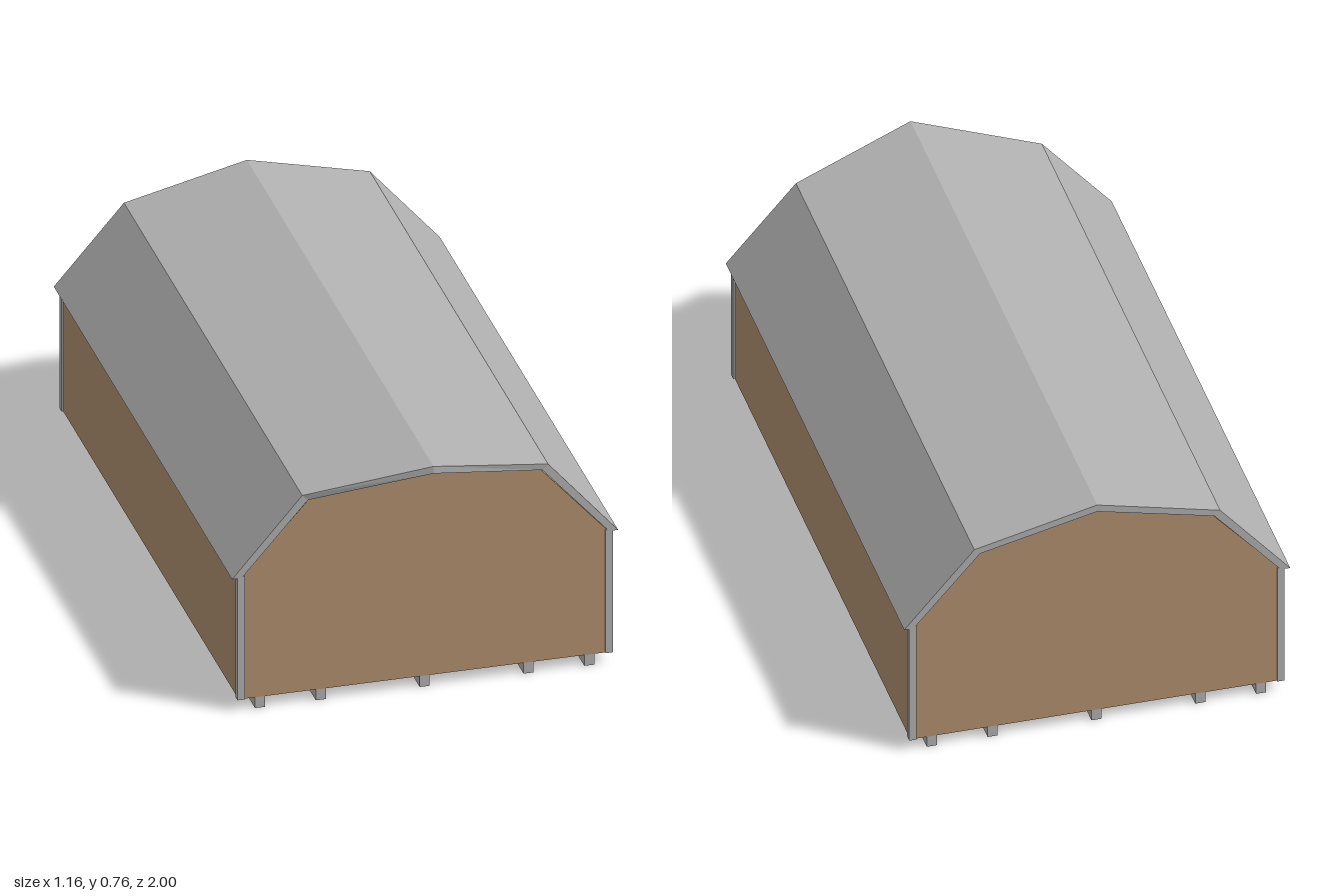
import * as THREE from 'three';

const WALL_X = 0.557, FLOOR = 0.035, FRONT = 0.905, BACK = -0.992;

// Flat-shaded geometry from a list of four-cornered faces
function quads(faces) {
  const pos = [];
  for (const [a, b, c, d] of faces) pos.push(...a, ...b, ...c, ...a, ...c, ...d);
  const g = new THREE.BufferGeometry();
  g.setAttribute('position', new THREE.Float32BufferAttribute(pos, 3));
  g.computeVertexNormals();
  return g;
}

export function createModel() {
  const model = new THREE.Group();
  model.name = 'barnShed';
  const siding = new THREE.MeshStandardMaterial({ name: 'tan siding', color: 0xb08f6e, side: THREE.DoubleSide });
  const metal = new THREE.MeshStandardMaterial({ name: 'grey metal', color: 0xb0b0b0 });

  const add = (name, geometry, material, x = 0, y = 0, z = 0) => {
    const mesh = new THREE.Mesh(geometry, material);
    mesh.name = name;
    mesh.position.set(x, y, z);
    model.add(mesh);
    return mesh;
  };

  // Hollow body, open underneath: gable walls, side walls and roof lining
  const section = [
    [WALL_X, FLOOR], [WALL_X, 0.42], [0.349, 0.653], [0, 0.735],
    [-0.349, 0.653], [-WALL_X, 0.42], [-WALL_X, FLOOR],
  ];
  const gable = new THREE.ShapeGeometry(new THREE.Shape(section.map(p => new THREE.Vector2(...p))));
  add('frontGableWall', gable, siding, 0, 0, FRONT);
  add('backGableWall', gable, siding, 0, 0, BACK).geometry = gable.clone().rotateY(Math.PI);
  const strip = (i) => {
    const [a, b] = [section[i], section[i + 1]];
    return [[...a, FRONT], [...a, BACK], [...b, BACK], [...b, FRONT]];
  };
  add('sideWalls', quads([strip(0), strip(5)]), siding);
  add('roofLining', quads([1, 2, 3, 4].map(strip)), siding);

  // Gambrel roof slab with a pointed prow over the front gable
  const outer = [[0.578, 0.43], [0.368, 0.673], [0, 0.761], [-0.368, 0.673], [-0.578, 0.43]];
  const inner = [[0.55, 0.43], [0.351, 0.656], [0, 0.738], [-0.351, 0.656], [-0.55, 0.43]];
  const frontZ = [0.91, 0.91, 1, 0.91, 0.91];
  const at = (ring, i, back) => [...ring[i], back ? -1 : frontZ[i]];
  const faces = [];
  for (let i = 0; i < 4; i++) {
    const j = i + 1;
    faces.push([at(outer, i), at(outer, i, 1), at(outer, j, 1), at(outer, j)]);
    faces.push([at(inner, j), at(inner, j, 1), at(inner, i, 1), at(inner, i)]);
    faces.push([at(inner, i), at(outer, i), at(outer, j), at(inner, j)]);
    faces.push([at(inner, j, 1), at(outer, j, 1), at(outer, i, 1), at(inner, i, 1)]);
  }
  // Eave edges
  faces.push([at(inner, 0), at(inner, 0, 1), at(outer, 0, 1), at(outer, 0)]);
  faces.push([at(outer, 4), at(outer, 4, 1), at(inner, 4, 1), at(inner, 4)]);
  add('roof', quads(faces), metal);

  // Corner trim: two thin plates folded round each corner
  const trimH = 0.4, trimY = FLOOR + trimH / 2, w = 0.022, t = 0.005;
  for (const sx of [1, -1]) {
    for (const [z, sz] of [[FRONT, 1], [BACK, -1]]) {
      add('cornerTrimEnd', new THREE.BoxGeometry(w, trimH, t), metal,
        sx * (WALL_X + t - w / 2), trimY, z + sz * t / 2);
      add('cornerTrimSide', new THREE.BoxGeometry(t, trimH, w), metal,
        sx * (WALL_X + t / 2), trimY, z + sz * (t - w / 2));
    }
  }

  // Ground skids
  for (const x of [-0.493, -0.311, 0, 0.311, 0.493]) {
    add('skid', new THREE.BoxGeometry(0.03, FLOOR, FRONT - BACK), metal, x, FLOOR / 2, (FRONT + BACK) / 2);
  }
  return model;
}
